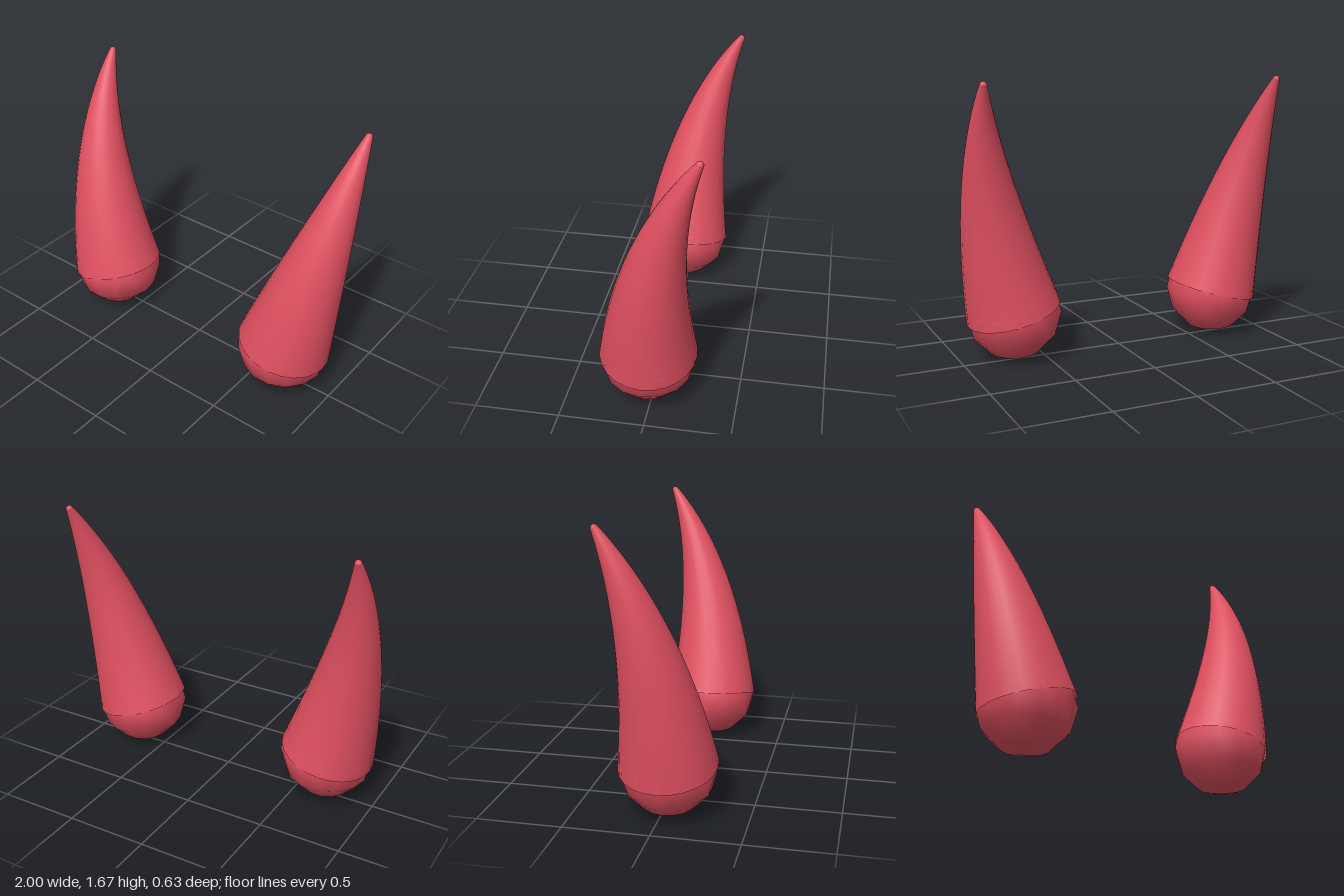
import * as THREE from 'three';
import { mergeVertices } from 'three/addons/utils/BufferGeometryUtils.js';

const BASE_RADIUS = 0.287;
const TIP_RADIUS = 0.022;

// Tube of unit radius whose rings are shrunk linearly from base to tip
function taperedTube(curve, segments, sides, r0, r1) {
  const geometry = new THREE.TubeGeometry(curve, segments, 1, sides, false);
  const position = geometry.attributes.position;
  const v = new THREE.Vector3();
  const centre = new THREE.Vector3();
  for (let ring = 0; ring <= segments; ring++) {
    const t = curve.getUtoTmapping(ring / segments);
    curve.getPoint(t, centre);
    const radius = THREE.MathUtils.lerp(r0, r1, t);
    for (let j = 0; j <= sides; j++) {
      const i = ring * (sides + 1) + j;
      v.fromBufferAttribute(position, i).sub(centre).multiplyScalar(radius).add(centre);
      position.setXYZ(i, v.x, v.y, v.z);
    }
  }
  // Weld the seam so the shading stays smooth all round
  geometry.deleteAttribute('uv');
  geometry.deleteAttribute('normal');
  const welded = mergeVertices(geometry, 1e-5);
  welded.computeVertexNormals();
  return welded;
}

function createHorn(side, material) {
  const horn = new THREE.Group();
  const add = (name, geometry, at) => {
    const mesh = new THREE.Mesh(geometry, material);
    mesh.name = name;
    if (at) mesh.position.copy(at);
    horn.add(mesh);
  };

  // Centre line sweeps up, outwards and back
  const base = new THREE.Vector3(side * 0.68, BASE_RADIUS, 0.03);
  const bend = new THREE.Vector3(side * 0.89, 1.13, 0);
  const tip = new THREE.Vector3(side * 0.93, 1.645, -0.29);
  const curve = new THREE.QuadraticBezierCurve3(base, bend, tip);

  add('hornBody', taperedTube(curve, 40, 24, BASE_RADIUS, TIP_RADIUS));
  add('hornBase', new THREE.SphereGeometry(BASE_RADIUS, 14, 6), base);
  add('hornTip', new THREE.SphereGeometry(TIP_RADIUS, 14, 8), tip);
  return horn;
}

export function createModel() {
  const model = new THREE.Group();
  model.name = 'hornPair';
  const material = new THREE.MeshStandardMaterial({ color: 0xe05060, side: THREE.DoubleSide });
  for (const [name, side] of [['leftHorn', 1], ['rightHorn', -1]]) {
    const horn = createHorn(side, material);
    horn.name = name;
    model.add(horn);
  }
  return model;
}
